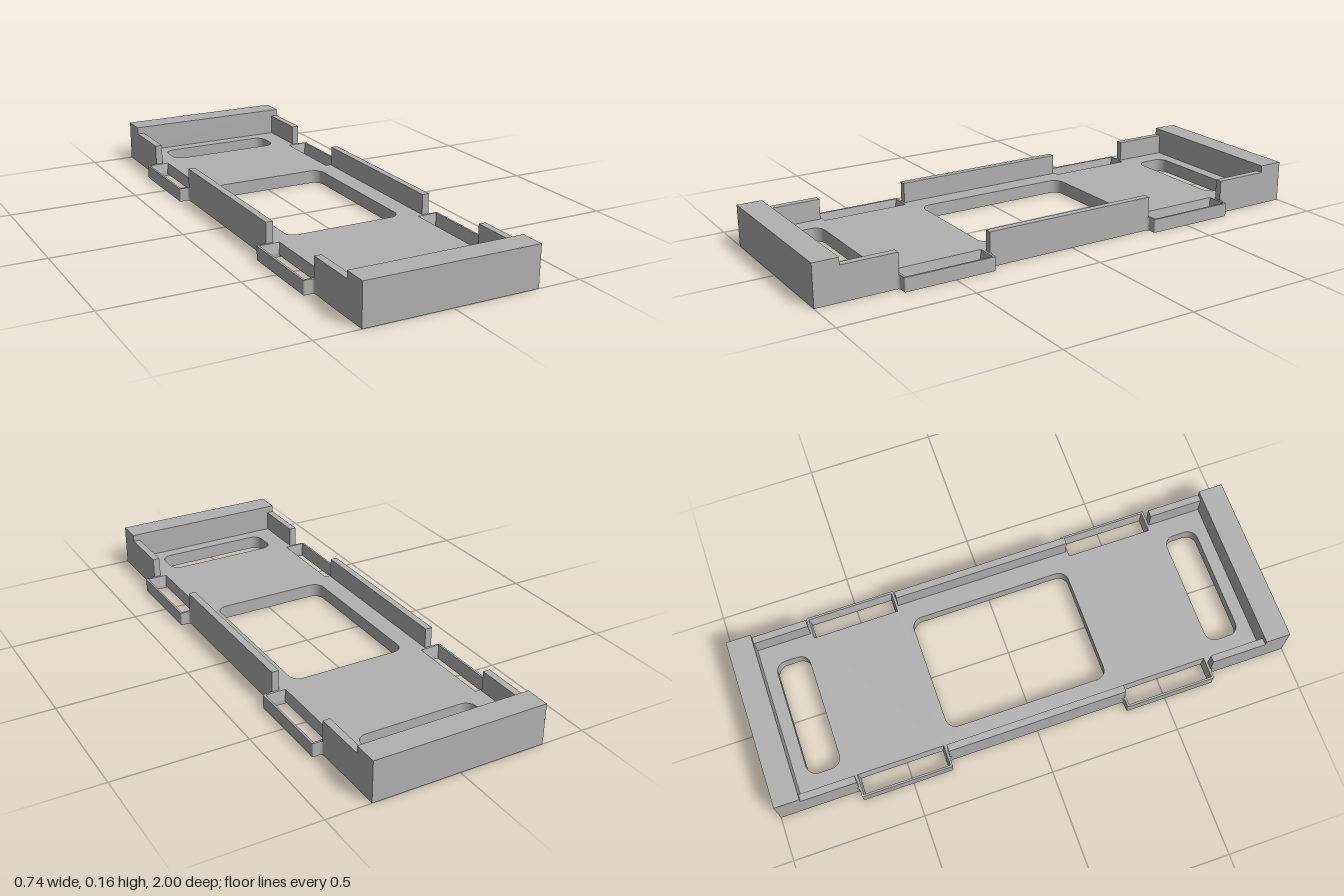
import * as THREE from 'three';

const W = 0.332, FLOOR = 0.052, WALL = 0.13, END = 0.157, T = 0.027;
const LOOP = { x: 0.37, z0: 0.345, z1: 0.695 };

// rounded rectangle between two corners
function rounded(x0, y0, x1, y1, r) {
  const p = new THREE.Path();
  p.moveTo(x0 + r, y0);
  p.lineTo(x1 - r, y0);
  p.absarc(x1 - r, y0 + r, r, -Math.PI / 2, 0);
  p.lineTo(x1, y1 - r);
  p.absarc(x1 - r, y1 - r, r, 0, Math.PI / 2);
  p.lineTo(x0 + r, y1);
  p.absarc(x0 + r, y1 - r, r, Math.PI / 2, Math.PI);
  p.lineTo(x0, y0 + r);
  p.absarc(x0 + r, y0 + r, r, Math.PI, Math.PI * 1.5);
  return p;
}

function rect(x0, y0, x1, y1) {
  return new THREE.Path([[x0, y0], [x1, y0], [x1, y1], [x0, y1]].map(([x, y]) => new THREE.Vector2(x, y)));
}

// tray outline, with four strap loops blended into the sides
function outline() {
  const s = new THREE.Shape(), f = 0.013, c = 0.006, { x: L, z0, z1 } = LOOP;
  s.moveTo(-W, -1);
  s.lineTo(W, -1);
  for (const side of [1, -1]) {
    for (const [a, b] of [[-z1, -z0], [z0, z1]]) {
      const p = (x, y) => [x * side, y * side];
      s.lineTo(...p(W, a - f));
      s.quadraticCurveTo(...p(W, a), ...p(W + f, a));
      s.lineTo(...p(L - c, a));
      s.quadraticCurveTo(...p(L, a), ...p(L, a + c));
      s.lineTo(...p(L, b - c));
      s.quadraticCurveTo(...p(L, b), ...p(L - c, b));
      s.lineTo(...p(W + f, b));
      s.quadraticCurveTo(...p(W, b), ...p(W, b + f));
    }
    s.lineTo(W * side, side);
    s.lineTo(-W * side, side);
  }
  return s;
}

// one layer of the floor with its windows, screw holes and strap cut-outs
function layer(y0, y1, cutouts) {
  const s = outline();
  s.holes.push(rounded(-0.23, -0.315, 0.23, 0.315, 0.04));
  for (const e of [-1, 1]) {
    const m = e * 0.793;
    s.holes.push(rounded(-0.23, m - 0.064, 0.23, m + 0.064, 0.04));
    for (const x of [-0.14, 0.14]) {
      s.holes.push(new THREE.Path().absarc(x, e * 0.93, 0.014, 0, Math.PI * 2));
    }
  }
  s.holes.push(...cutouts);
  const g = new THREE.ExtrudeGeometry(s, { depth: y1 - y0, bevelEnabled: false, curveSegments: 8 });
  g.rotateX(-Math.PI / 2);
  g.translate(0, y0, 0);
  return g;
}

// sloping inner faces of a strap slot
function slotLining(low, high, y0, y1) {
  const pos = [], idx = [];
  for (const [[x0, z0, x1, z1], y] of [[low, y0], [high, y1]]) {
    for (const [x, z] of [[x0, z0], [x1, z0], [x1, z1], [x0, z1]]) pos.push(x, y, z);
  }
  for (let i = 0; i < 4; i++) {
    const j = (i + 1) % 4;
    idx.push(i, j, j + 4, i, j + 4, i + 4);
  }
  const g = new THREE.BufferGeometry();
  g.setAttribute('position', new THREE.Float32BufferAttribute(pos, 3));
  g.setIndex(idx);
  const flat = g.toNonIndexed();
  flat.computeVertexNormals();
  return flat;
}

export function createModel() {
  const group = new THREE.Group();
  const grey = new THREE.MeshStandardMaterial({ color: 0xb0b0b0 });
  grey.name = 'grey plastic';
  grey.side = THREE.DoubleSide;

  const add = (name, geometry) => {
    const m = new THREE.Mesh(geometry, grey);
    m.name = name;
    group.add(m);
  };
  const box = (name, x0, x1, y0, y1, z0, z1) => {
    const g = new THREE.BoxGeometry(x1 - x0, y1 - y0, z1 - z0);
    g.translate((x0 + x1) / 2, (y0 + y1) / 2, (z0 + z1) / 2);
    add(name, g);
  };

  // strap slots: narrow at the bottom, wider at the top
  const low = [], high = [];
  for (const sx of [-1, 1]) for (const sz of [-1, 1]) {
    const x = sx * 0.323, z = sz * 0.52;
    low.push([x - 0.033, z - 0.16, x + 0.033, z + 0.16]);
    high.push([x - 0.039, z - 0.167, x + 0.039, z + 0.167]);
  }
  const channels = [-0.52, 0.52].map(z => rect(-0.356, z - 0.16, 0.356, z + 0.16));

  // floor: underside strap channels, then the slotted layers
  add('strapChannelLayer', layer(0, 0.008, channels));
  add('floorLower', layer(0.008, 0.014, low.map(r => rect(...r))));
  add('floorUpper', layer(0.014, FLOOR, high.map(r => rect(...r))));
  low.forEach((r, i) => add('strapSlotLining', slotLining(r, high[i], 0.014, FLOOR)));

  // side walls, interrupted at the strap loops
  for (const s of [-1, 1]) {
    const [x0, x1] = s > 0 ? [W - T, W] : [-W, T - W];
    box('middleSideWall', x0, x1, FLOOR, WALL, -LOOP.z0, LOOP.z0);
    box('frontSideWall', x0, x1, FLOOR, WALL, LOOP.z1, 0.905);
    box('backSideWall', x0, x1, FLOOR, WALL, -0.905, -LOOP.z1);
  }

  // tall end blocks
  box('frontEndBlock', -W, W, FLOOR, END, 0.905, 1);
  box('backEndBlock', -W, W, FLOOR, END, -1, -0.905);
  return group;
}
